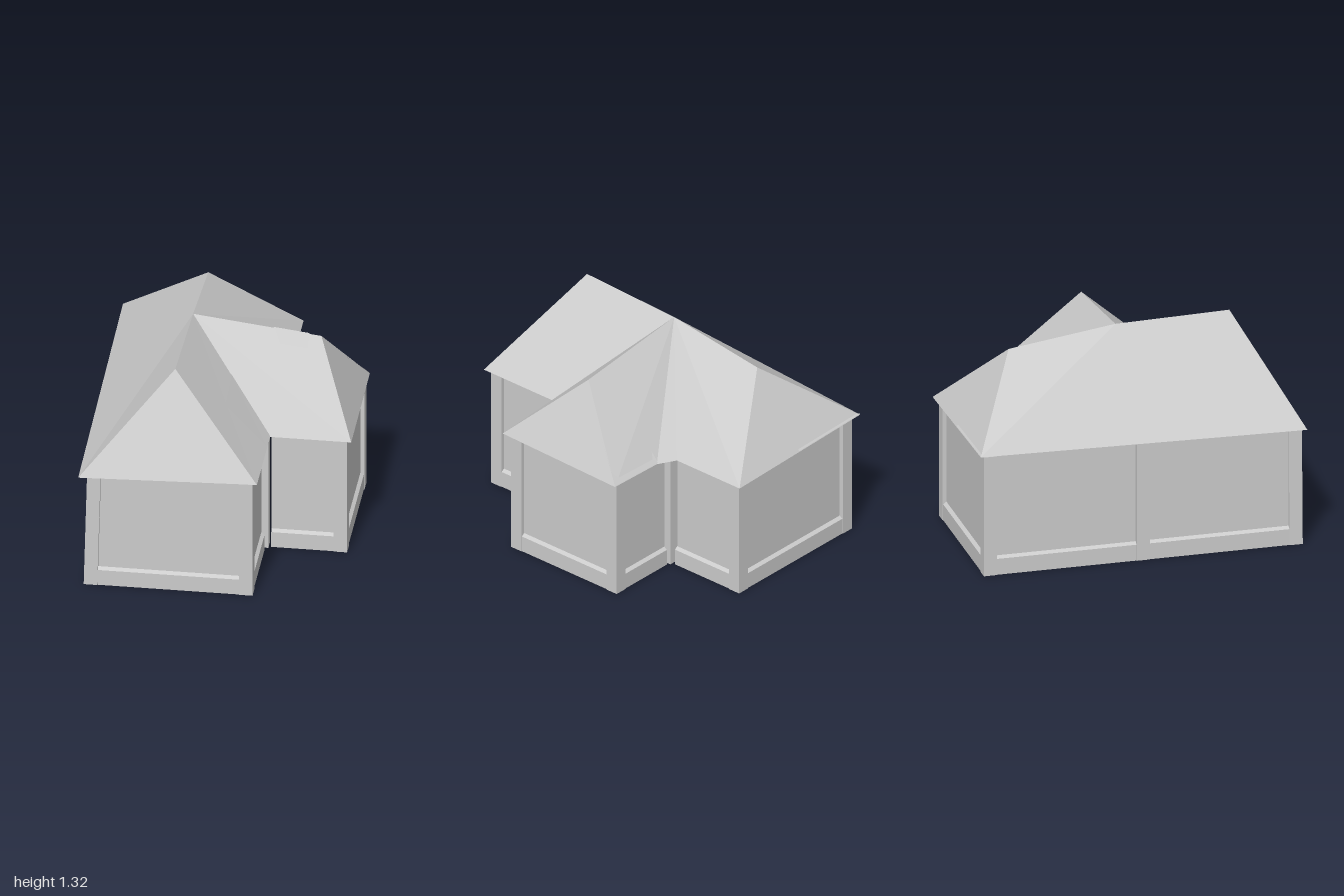
import * as THREE from 'three';

const grey = new THREE.MeshStandardMaterial({ color: 0xcccccc, flatShading: true, side: THREE.DoubleSide });

// Sagging roof: eave corners, then ridge points
const R = {
  a: [-0.77, 0.73, 0.99], b: [0.29, 0.77, 1], c: [0.29, 0.77, 0.43], d: [0.77, 0.77, 0.43],
  e: [0.76, 0.74, -0.44], f: [0.4, 0.74, -0.45], g: [0.29, 0.74, -0.51], h: [0.29, 0.74, -1], i: [-0.78, 0.77, -1],
  p: [-0.24, 1.32, 0.66], q: [-0.23, 1.3, -0.03], r: [-0.23, 1.21, -0.68], s: [0.53, 1.21, -0.03],
};

function add(group, name, geometry) {
  const mesh = new THREE.Mesh(geometry, grey);
  mesh.name = name;
  group.add(mesh);
  return mesh;
}

function trianglesToGeometry(points) {
  const geometry = new THREE.BufferGeometry();
  geometry.setAttribute('position', new THREE.Float32BufferAttribute(points.flat(), 3));
  geometry.computeVertexNormals();
  return geometry;
}

// Polygon as a triangle fan around its first corner
function fan(corners) {
  const out = [];
  for (let k = 1; k < corners.length - 1; k++) out.push(corners[0], corners[k], corners[k + 1]);
  return out;
}

// Wall with a bevelled base board, standing on the line from one corner to the next
function wallGeometry(length) {
  const profile = [[0, 0], [0, 0.1], [-0.02, 0.115], [-0.02, 0.75], [-0.03, 0.75], [-0.03, 0.115], [-0.012, 0.097], [-0.012, 0]];
  const shape = new THREE.Shape(profile.map(([x, y]) => new THREE.Vector2(x - 0.004, y)));
  return new THREE.ExtrudeGeometry(shape, { depth: length - 0.06, bevelEnabled: false }).translate(0, 0, 0.03);
}

export function createModel() {
  const house = new THREE.Group();
  house.name = 'house';

  // Roof slopes, each fan starting from a ridge point
  const slopes = {
    leftSlope: 'qriap', frontHip: 'pab', frontValleySlope: 'qpbc', wingFrontSlope: 'qcds',
    wingHip: 'sde', wingBackSlope: 'qsefg', backValleySlope: 'qghr', backHip: 'rhi',
  };
  const roof = new THREE.Group();
  roof.name = 'roof';
  house.add(roof);
  for (const [name, keys] of Object.entries(slopes)) {
    add(roof, name, trianglesToGeometry(fan([...keys].map((k) => R[k]))));
  }

  // Ceiling and eave underside
  const eaves = [...'abcdefghi'].map((k) => R[k]);
  const faces = THREE.ShapeUtils.triangulateShape(eaves.map(([x, , z]) => new THREE.Vector2(x, -z)), []);
  add(roof, 'ceiling', trianglesToGeometry(faces.flatMap((t) => [t[2], t[1], t[0]].map((n) => eaves[n]))));

  // Thin repair patches lying on the slopes
  const patches = [
    [[0.03, 1.035, 0.2], [0.04, 1.03, 0.55], [0.29, 0.77, 0.56], R.c],
    [[0.25, 1.243, -0.03], [0.25, 1.0, 0.21], [0.46, 0.895, 0.3], [0.46, 1.218, -0.03]],
    [[0.63, 1.0, -0.19], R.e, [0.39, 0.74, -0.45], [0.39, 0.997, -0.23]],
    [[-0.24, 0.91, -0.8], [-0.24, 0.755, -1], R.i, [-0.45, 0.92, -0.8]],
  ];
  for (const patch of patches) {
    add(roof, 'roofPatch', trianglesToGeometry(fan(patch.map(([x, y, z]) => [x, y + 0.006, z]))));
  }

  // Walls around the L-shaped plan
  const plan = [[-0.74, 0.97], [0.26, 0.97], [0.26, 0.39], [0.74, 0.39], [0.74, -0.435], [0.26, -0.435], [0.26, -0.97], [-0.74, -0.97]];
  plan.forEach(([x0, z0], k) => {
    const [x1, z1] = plan[(k + 1) % plan.length];
    const wall = add(house, 'wall', wallGeometry(Math.hypot(x1 - x0, z1 - z0)));
    wall.position.set(x1, 0, z1);
    wall.rotation.y = Math.atan2(x0 - x1, z0 - z1);
  });

  // Square posts at the corners and halfway along the left-hand long wall
  const posts = [
    [-0.7, 0.93], [0.22, 0.93], [0.235, 0.36], [0.7, 0.35],
    [0.7, -0.395], [0.235, -0.405], [0.22, -0.93], [-0.7, -0.93], [-0.7, 0],
  ];
  posts.forEach(([x, z], k) => {
    const geometry = new THREE.BoxGeometry(0.08, 0.75, 0.08).translate(0, 0.375, 0);
    if (k === 0) {
      // The front post leans inwards
      const pos = geometry.attributes.position;
      for (let n = 0; n < pos.count; n++) pos.setX(n, pos.getX(n) + 0.02 * pos.getY(n) / 0.75);
    }
    add(house, 'post', geometry).position.set(x, 0, z);
  });

  return house;
}
